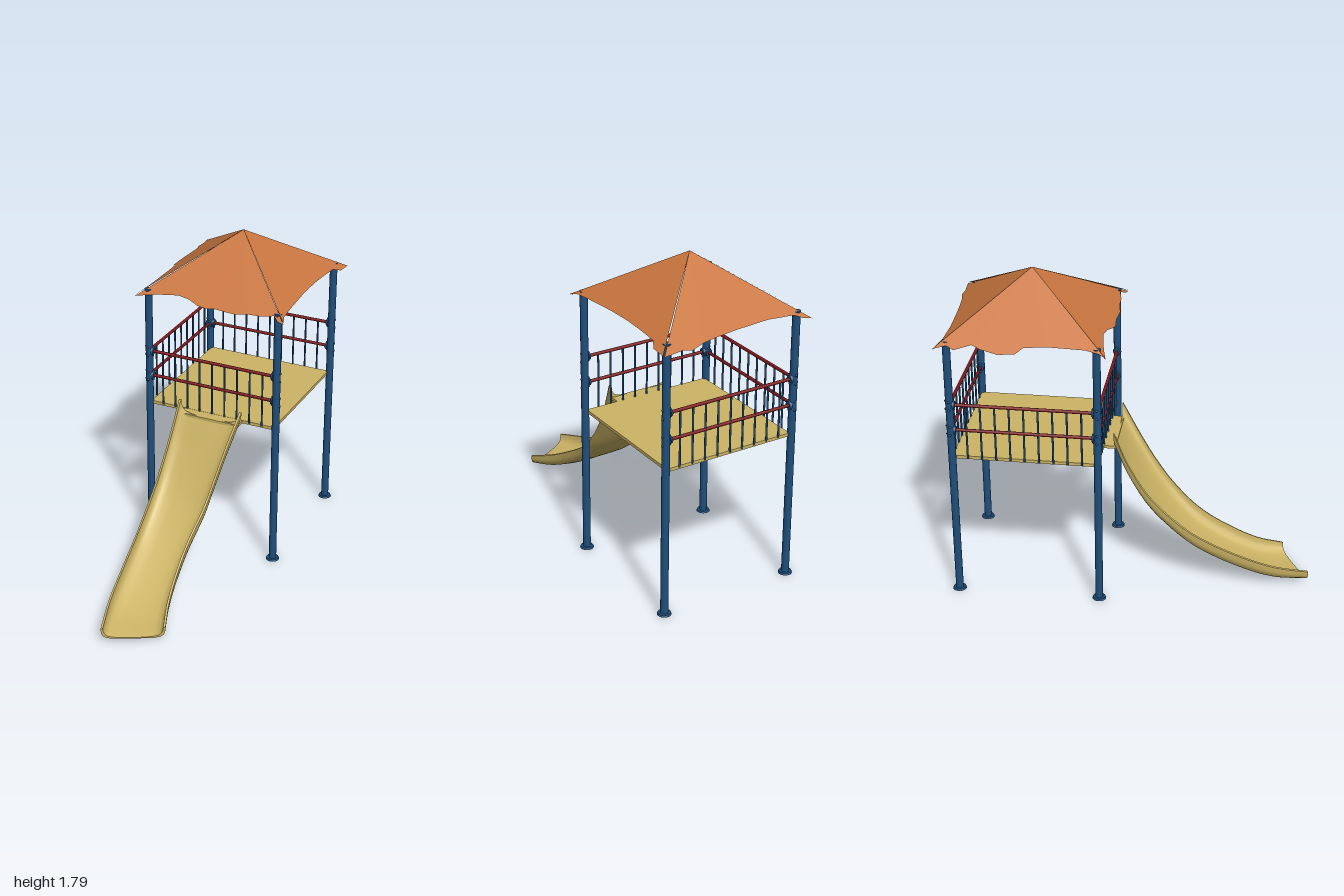
import * as THREE from 'three';
import { toCreasedNormals } from 'three/addons/utils/BufferGeometryUtils.js';

const mat = (name, color) => Object.assign(new THREE.MeshStandardMaterial({ color }), { name });

const POST_X = 0.385, FRONT_Z = -0.145, BACK_Z = -0.93, MID_Z = -0.54;
const DECK_Y = 0.83, RAIL_YS = [1.0, 1.148];

export function createModel() {
  const blue = mat('post blue', 0x1f4f7c);
  const red = mat('rail red', 0x7d181c);
  const yellow = mat('slide yellow', 0xcdb566);
  const orange = mat('roof orange', 0xc9763f);
  orange.side = THREE.DoubleSide;

  const model = new THREE.Group();
  model.name = 'playTower';
  const add = (parent, name, geo, material, x = 0, y = 0, z = 0) => {
    const m = new THREE.Mesh(geo, material);
    m.name = name;
    m.position.set(x, y, z);
    parent.add(m);
    return m;
  };

  // Corner posts with round feet
  const postGeo = new THREE.CylinderGeometry(0.021, 0.021, 1.52, 20);
  const footGeo = new THREE.CylinderGeometry(0.034, 0.038, 0.01, 20);
  for (const x of [-POST_X, POST_X]) {
    for (const z of [FRONT_Z, BACK_Z]) {
      add(model, 'post', postGeo, blue, x, 0.76, z);
      add(model, 'postFoot', footGeo, blue, x, 0.005, z);
    }
  }

  // Deck and its short lip in front of the slide
  add(model, 'deck', new THREE.BoxGeometry(0.75, 0.018, 0.785), yellow, 0, DECK_Y, -0.5375);
  add(model, 'deckLip', new THREE.BoxGeometry(0.35, 0.016, 0.07), yellow, 0.01, DECK_Y, -0.115);

  // Railings on the front, back and model's right; the other side is open
  model.add(
    railing('frontRailing', POST_X * 2, 0, FRONT_Z, 0),
    railing('backRailing', POST_X * 2, 0, BACK_Z, 0),
    railing('sideRailing', FRONT_Z - BACK_Z, -POST_X, (FRONT_Z + BACK_Z) / 2, Math.PI / 2)
  );

  function railing(name, length, x, z, turn) {
    const g = new THREE.Group();
    g.name = name;
    const flangeGeo = new THREE.CylinderGeometry(0.02, 0.024, 0.012, 14);
    const boltGeo = new THREE.SphereGeometry(0.007, 8, 6);
    for (const y of RAIL_YS) {
      const rail = add(g, 'rail', new THREE.CylinderGeometry(0.009, 0.009, length, 12), red, 0, y, 0);
      rail.rotation.z = Math.PI / 2;
      for (const s of [-1, 1]) {
        const flange = add(g, 'railFlange', flangeGeo, blue, s * (length / 2 - 0.023), y, 0);
        flange.rotation.z = s * Math.PI / 2;
        for (const dy of [-0.026, 0.022]) {
          add(g, 'bolt', boltGeo, blue, s * (length / 2 - 0.022), y + dy, 0);
          add(g, 'bolt', boltGeo, blue, s * (length / 2 + 0.02), y + dy, 0);
        }
      }
    }
    const barGeo = new THREE.CylinderGeometry(0.0055, 0.0055, 0.32, 8);
    for (let i = -4; i <= 4; i++) add(g, 'bar', barGeo, blue, i * length / 10.2, DECK_Y + 0.16, 0);
    g.position.set(x, 0, z);
    g.rotation.y = turn;
    return g;
  }

  // Canvas roof: four flat panels with ragged hems, as [along, distance from the middle]
  const hems = {
    frontRoof: [[-0.44, 0.45], [-0.38, 0.435], [-0.31, 0.42], [-0.2, 0.405], [-0.13, 0.415],
      [-0.07, 0.438], [-0.02, 0.445], [0.04, 0.438], [0.09, 0.442], [0.15, 0.445], [0.22, 0.432],
      [0.3, 0.43], [0.37, 0.415], [0.4, 0.44], [0.44, 0.45]],
    rightRoof: [[-0.45, 0.44], [-0.4, 0.42], [-0.3, 0.412], [-0.1, 0.402], [0.06, 0.4],
      [0.2, 0.405], [0.31, 0.412], [0.36, 0.44], [0.45, 0.445]],
    backRoof: [[-0.44, 0.455], [-0.33, 0.445], [-0.28, 0.455], [-0.2, 0.435], [-0.12, 0.425],
      [0, 0.415], [0.2, 0.405], [0.35, 0.415], [0.39, 0.437], [0.44, 0.45]],
    leftRoof: [[-0.45, 0.44], [-0.38, 0.42], [-0.34, 0.44], [-0.25, 0.41], [-0.2, 0.43],
      [-0.11, 0.45], [-0.02, 0.445], [0.02, 0.41], [0.14, 0.4], [0.34, 0.405], [0.41, 0.42], [0.45, 0.44]]
  };
  const roof = new THREE.Group();
  roof.name = 'roof';
  roof.position.set(0, 1.79, MID_Z);
  Object.entries(hems).forEach(([name, hem], side) => {
    const pos = [];
    const drop = d => -0.3 * d / 0.445;
    for (let i = 0; i < hem.length - 1; i++) {
      const [s0, d0] = hem[i], [s1, d1] = hem[i + 1];
      pos.push(0, 0, 0, s0, drop(d0), d0, s1, drop(d1), d1);
    }
    const geo = new THREE.BufferGeometry();
    geo.setAttribute('position', new THREE.Float32BufferAttribute(pos, 3));
    geo.computeVertexNormals();
    add(roof, name, geo, orange).rotation.y = side * Math.PI / 2;
  });
  model.add(roof);

  add(model, 'slide', slideGeometry(), yellow);
  return model;
}

// Curved chute: a thin trough section swept along a bending path
function slideGeometry() {
  const v = (a) => new THREE.Vector3(...a);
  const path = new THREE.CatmullRomCurve3([
    [0.015, 0.828, -0.09], [-0.01, 0.655, 0], [-0.027, 0.495, 0.1], [-0.035, 0.375, 0.2],
    [-0.045, 0.235, 0.36], [-0.03, 0.115, 0.57], [0, 0.042, 0.75], [0.05, 0.012, 0.91]].map(v));
  // half width, heading and depth at the same stations
  const shape = new THREE.CatmullRomCurve3([
    [0.19, 0, 0.092], [0.182, -0.08, 0.09], [0.176, -0.1, 0.09], [0.17, -0.06, 0.09],
    [0.157, 0, 0.092], [0.155, 0.15, 0.092], [0.162, 0.32, 0.085], [0.17, 0.49, 0.066]].map(v));

  // Section in fractions of half width and depth, mirrored left to right
  const mirror = half => [...half, ...half.slice(0, -1).reverse().map(([x, y]) => [-x, y])];
  const outer = mirror([[-1, 0.97], [-0.99, 0.6], [-0.95, 0.32], [-0.85, 0.12], [-0.65, 0.02], [-0.35, 0], [0, 0]]);
  const inner = mirror([[-0.93, 1], [-0.92, 0.72], [-0.88, 0.48], [-0.8, 0.28], [-0.62, 0.16], [-0.34, 0.1], [0, 0.09]]);
  const ring = [...outer, ...inner.reverse()];
  const n = ring.length, steps = 48, pos = [], index = [];

  for (let i = 0; i <= steps; i++) {
    const p = path.getPoint(i / steps), s = shape.getPoint(i / steps);
    for (const [u, h] of ring) {
      pos.push(p.x + u * s.x * Math.cos(s.y), p.y + h * s.z, p.z - u * s.x * Math.sin(s.y));
    }
  }
  for (let i = 0; i < steps; i++) {
    for (let j = 0; j < n; j++) {
      const k = (j + 1) % n, a = i * n + j, b = i * n + k;
      index.push(a, b, b + n, a, b + n, a + n);
    }
  }
  // End caps
  const last = steps * n;
  for (let k = 0; k < outer.length - 1; k++) {
    const a = k, b = k + 1, c = n - 2 - k, d = n - 1 - k;
    index.push(a, c, b, a, d, c);
    index.push(last + a, last + b, last + c, last + a, last + c, last + d);
  }
  const geo = new THREE.BufferGeometry();
  geo.setAttribute('position', new THREE.Float32BufferAttribute(pos, 3));
  geo.setIndex(index);
  return toCreasedNormals(geo, 0.8);
}
